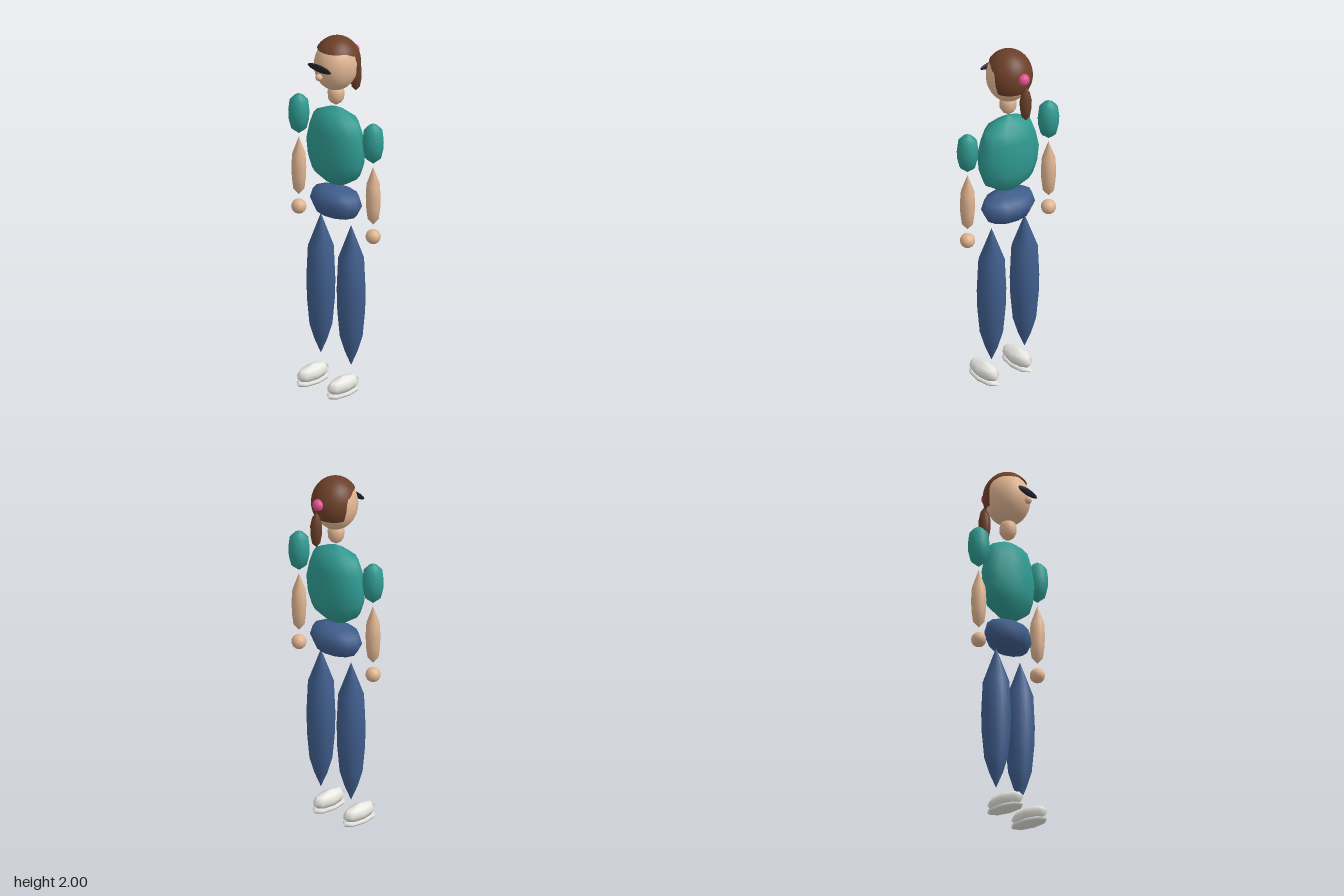
import * as THREE from 'three';

const mat = (name, color, extra = {}) => Object.assign(new THREE.MeshStandardMaterial({ color, ...extra }), { name });

export function createModel() {
  const skin = mat('skin', 0xdfb491);
  const teal = mat('shirt teal', 0x2f9990);
  const blue = mat('trouser blue', 0x3f5d8c);
  const brown = mat('hair brown', 0x6b3f28, { side: THREE.DoubleSide });
  const pink = mat('hair tie pink', 0xe0508f);
  const dark = mat('glasses dark', 0x1f2029);
  const white = mat('shoe white', 0xe9e8e2);
  const model = new THREE.Group();
  model.name = 'person';

  const add = (name, geometry, material, x, y, z) => {
    const mesh = new THREE.Mesh(geometry, material);
    mesh.name = name;
    mesh.position.set(x, y, z);
    model.add(mesh);
    return mesh;
  };

  // Turned body part from [radius, height] pairs, bottom to top, flattened in depth
  const turned = (points, depth = 1, sides = 12) =>
    new THREE.LatheGeometry(points.map(([r, y]) => new THREE.Vector2(r, y)), sides).scale(1, 1, depth);
  const ball = (rx, ry, rz, w = 16, h = 10) => new THREE.SphereGeometry(1, w, h).scale(rx, ry, rz);

  // Body
  add('torso', turned([[0, 1.15], [0.07, 1.175], [0.15, 1.23], [0.175, 1.3], [0.185, 1.39],
    [0.165, 1.48], [0.14, 1.545], [0.07, 1.58], [0, 1.605]], 0.62), teal, 0, 0, 0);
  add('hips', turned([[0, 0.975], [0.07, 0.983], [0.13, 1.0], [0.16, 1.055], [0.142, 1.108],
    [0.07, 1.13], [0, 1.137]], 0.66), blue, 0, 0, 0);
  add('neck', turned([[0, 1.612], [0.03, 1.632], [0.044, 1.655], [0.045, 1.69], [0.035, 1.72], [0, 1.74]]), skin, 0, 0, 0);

  // Limbs
  const upperArm = turned([[0, 1.36], [0.042, 1.395], [0.055, 1.45], [0.057, 1.49], [0.05, 1.55], [0.025, 1.577], [0, 1.592]]);
  const forearm = turned([[0, 1.01], [0.03, 1.045], [0.038, 1.11], [0.04, 1.17], [0.036, 1.24], [0, 1.342]]);
  const hand = ball(0.04, 0.04, 0.04);
  const leg = turned([[0, 0.15], [0.035, 0.235], [0.062, 0.325], [0.075, 0.47], [0.078, 0.58], [0.07, 0.76], [0, 0.955]]);
  const shoe = turned([[0, 0.02], [0.036, 0.027], [0.049, 0.058], [0.037, 0.09], [0, 0.106]], 2.35, 8);
  const sole = turned([[0, 0.003], [0.045, 0.007], [0.051, 0.02], [0.04, 0.028], [0, 0.03]], 2.3, 8);
  for (const [side, s] of [['left', 1], ['right', -1]]) {
    add(side + 'Sleeve', upperArm, teal, s * 0.27, 0, 0);
    add(side + 'Forearm', forearm, skin, s * 0.27, 0, 0);
    add(side + 'Hand', hand, skin, s * 0.27, 0.941, 0);
    add(side + 'Leg', leg, blue, s * 0.11, 0, 0);
    add(side + 'Shoe', shoe, white, s * 0.11, 0, 0.06);
    add(side + 'Sole', sole, white, s * 0.11, 0, 0.06);
  }

  // Head, nose and glasses
  add('head', ball(0.114, 0.14, 0.12, 24, 16), skin, 0, 1.845, 0);
  add('nose', ball(0.019, 0.019, 0.019), skin, 0, 1.811, 0.128);
  add('glasses', ball(0.085, 0.02, 0.01, 16, 8), dark, 0, 1.86, 0.125);

  // Hair cap: short fringe in front, long at the back
  const cap = new THREE.SphereGeometry(1, 64, 14);
  const { position, normal, uv } = cap.attributes;
  for (let i = 0; i < position.count; i++) {
    const phi = uv.getX(i) * Math.PI * 2;
    const c = Math.cos(phi);
    const edge = 0.96 + 0.2 * THREE.MathUtils.smoothstep(-c, -0.4, 0.2) + 0.93 * THREE.MathUtils.smoothstep(-c, 0.2, 0.35);
    const theta = Math.max(0, Math.min(1, 1 - uv.getY(i))) * edge;
    const p = [Math.sin(theta) * Math.sin(phi), Math.cos(theta), Math.sin(theta) * c];
    position.setXYZ(i, ...p);
    normal.setXYZ(i, ...p);
  }
  // The last ring of the source sphere has no second triangle, so close the edge
  const index = Array.from(cap.index.array);
  const row = 65;
  for (let j = 0; j < 64; j++) {
    const a = 13 * row + j;
    index.push(a, a + row, a + row + 1);
  }
  cap.setIndex(index);
  cap.scale(0.124, 0.14, 0.128);
  add('hair', cap, brown, 0, 1.86, -0.007);

  // Ponytail with its tie
  add('hairTie', ball(0.032, 0.032, 0.028), pink, 0, 1.885, -0.134);
  add('ponytail', turned([[0, 1.645], [0.022, 1.67], [0.031, 1.72], [0.032, 1.765], [0.022, 1.815], [0, 1.848]]),
    brown, 0, 0, -0.148);

  return model;
}
